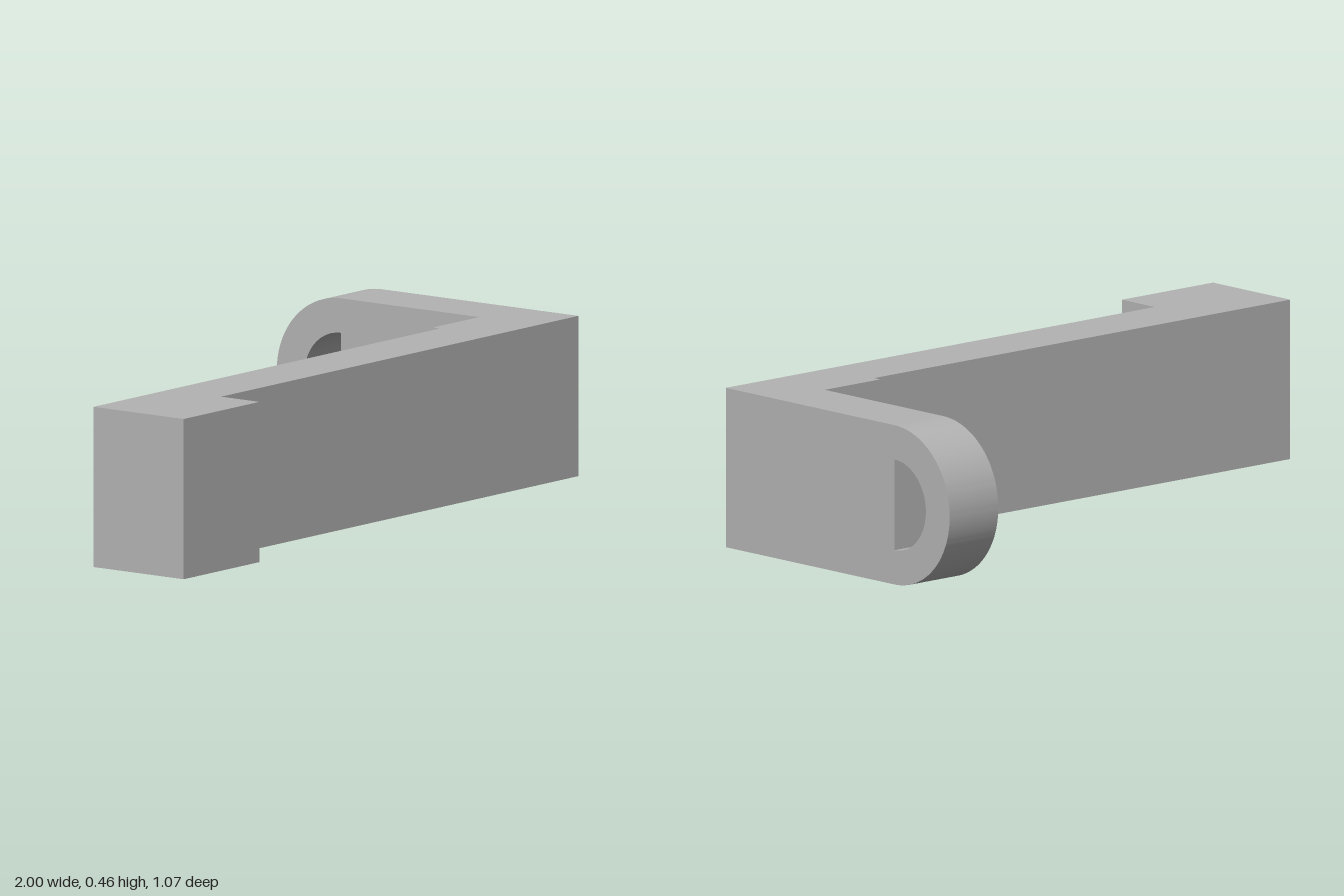
import * as THREE from 'three';
import { toCreasedNormals } from 'three/addons/utils/BufferGeometryUtils.js';

const HEIGHT = 0.46;
const ARM_INNER_X = 0.813;
const JOINT_Z = 0.188;

// Extrude a shape, keeping rounded walls smooth and corners sharp
function extrude(shape, depth) {
  const geometry = new THREE.ExtrudeGeometry(shape, { depth, bevelEnabled: false, curveSegments: 40 });
  return toCreasedNormals(geometry, Math.PI / 6);
}

export function createModel() {
  const model = new THREE.Group();
  model.name = 'bracket';
  const grey = new THREE.MeshStandardMaterial({ color: 0xb3b3b3 });
  grey.name = 'grey';

  const add = (name, geometry) => {
    const mesh = new THREE.Mesh(geometry, grey);
    mesh.name = name;
    model.add(mesh);
  };

  // Long bar with front foot and stepped back, as a plan outline of (x, z)
  const plan = [
    [-1, 0.535], [-0.65, 0.535], [-0.65, 0.398], [1, 0.398],
    [1, JOINT_Z], [0.6, JOINT_Z], [0.6, 0.213], [-1, 0.213],
  ];
  const barShape = new THREE.Shape(plan.map(([x, z]) => new THREE.Vector2(x, -z)));
  add('bar', extrude(barShape, HEIGHT).rotateX(-Math.PI / 2));

  // Side arm with a round end and a D-shaped hole, drawn as (-z, y)
  const r = HEIGHT / 2;
  const centre = 0.535 - r;
  const armShape = new THREE.Shape();
  armShape.moveTo(-JOINT_Z, 0);
  armShape.lineTo(centre, 0);
  armShape.absarc(centre, r, r, -Math.PI / 2, Math.PI / 2, false);
  armShape.lineTo(-JOINT_Z, HEIGHT);
  armShape.closePath();

  const hole = new THREE.Path();
  hole.absarc(centre, r, 0.131, -Math.PI / 2, Math.PI / 2, false);
  hole.closePath();
  armShape.holes.push(hole);

  add('sideArm', extrude(armShape, 1 - ARM_INNER_X).rotateY(Math.PI / 2).translate(ARM_INNER_X, 0, 0));

  return model;
}
